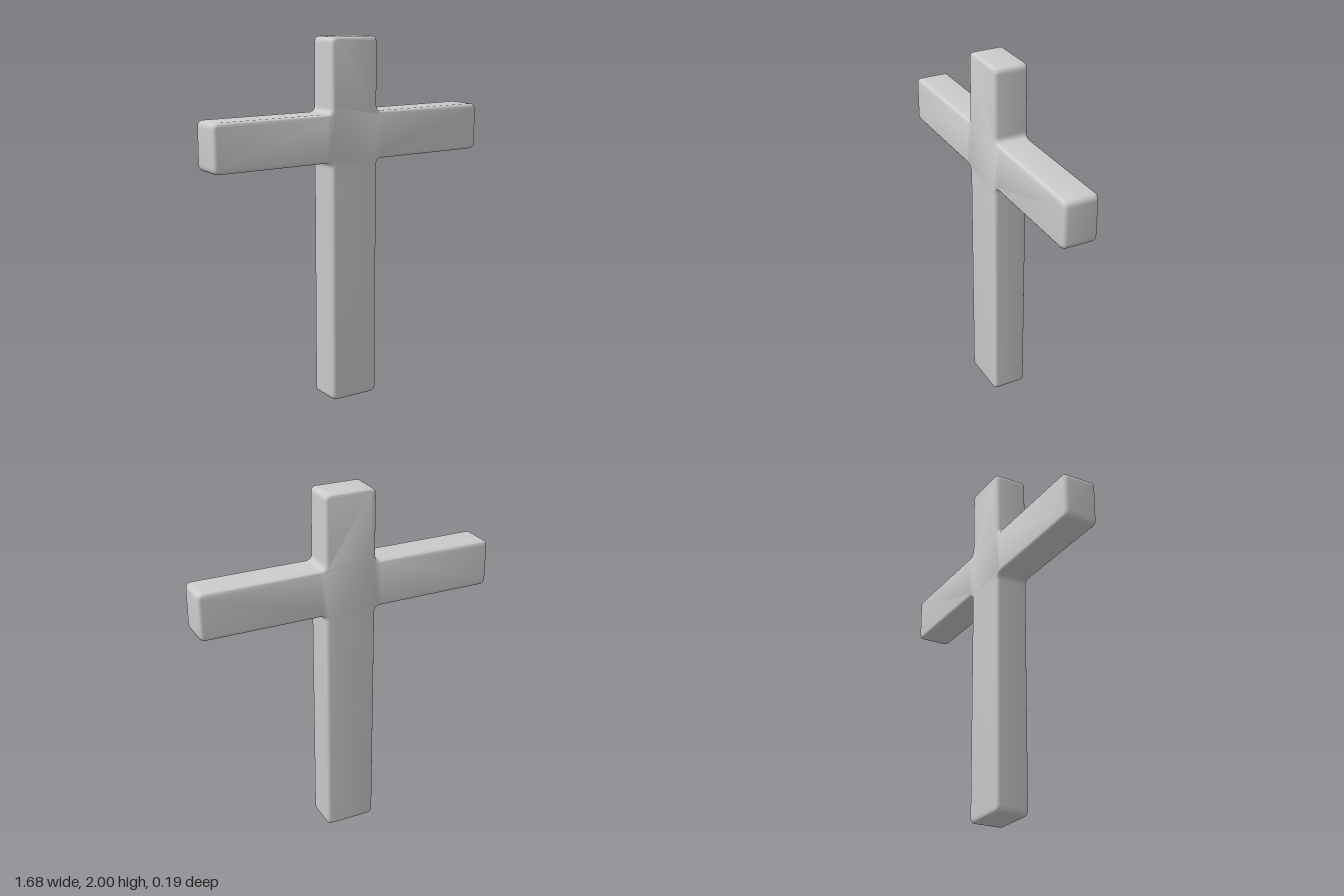
import * as THREE from 'three';
import { toCreasedNormals } from 'three/addons/utils/BufferGeometryUtils.js';

const HALF_POST = 0.145, HALF_ARM = 0.84, HALF_DEPTH = 0.095;
const ARM_LOW = 1.34, ARM_HIGH = 1.6, TOP = 2;
const CORNER = 0.035, BEVEL = 0.02;

// Closed polygon with every corner, inner or outer, rounded off
function roundedShape(points, radius) {
  const shape = new THREE.Shape();
  const n = points.length;
  points.forEach((p, i) => {
    const towards = (q) => q.clone().sub(p).setLength(radius).add(p);
    const a = towards(points[(i + n - 1) % n]);
    const b = towards(points[(i + 1) % n]);
    if (i === 0) shape.moveTo(a.x, a.y);
    else shape.lineTo(a.x, a.y);
    shape.quadraticCurveTo(p.x, p.y, b.x, b.y);
  });
  shape.closePath();
  return shape;
}

export function createModel() {
  const group = new THREE.Group();
  group.name = 'cross';

  // Right half of the outline, from bottom to top, then mirrored
  const half = [
    [HALF_POST, 0], [HALF_POST, ARM_LOW], [HALF_ARM, ARM_LOW],
    [HALF_ARM, ARM_HIGH], [HALF_POST, ARM_HIGH], [HALF_POST, TOP],
  ].map(([x, y]) => new THREE.Vector2(x, y));
  const mirrored = half.map((p) => new THREE.Vector2(-p.x, p.y)).reverse();

  // Post and arms in one piece, with softened edges front and back
  const depth = 2 * (HALF_DEPTH - BEVEL);
  const geometry = new THREE.ExtrudeGeometry(roundedShape([...half, ...mirrored], CORNER), {
    depth,
    curveSegments: 6,
    bevelEnabled: true,
    bevelThickness: BEVEL,
    bevelSize: BEVEL,
    bevelOffset: -BEVEL,
    bevelSegments: 4,
  });
  geometry.translate(0, 0, -depth / 2);

  const body = new THREE.Mesh(
    toCreasedNormals(geometry, 0.7),
    new THREE.MeshStandardMaterial({ color: 0xcccccc }),
  );
  body.name = 'postAndArms';
  group.add(body);
  return group;
}
